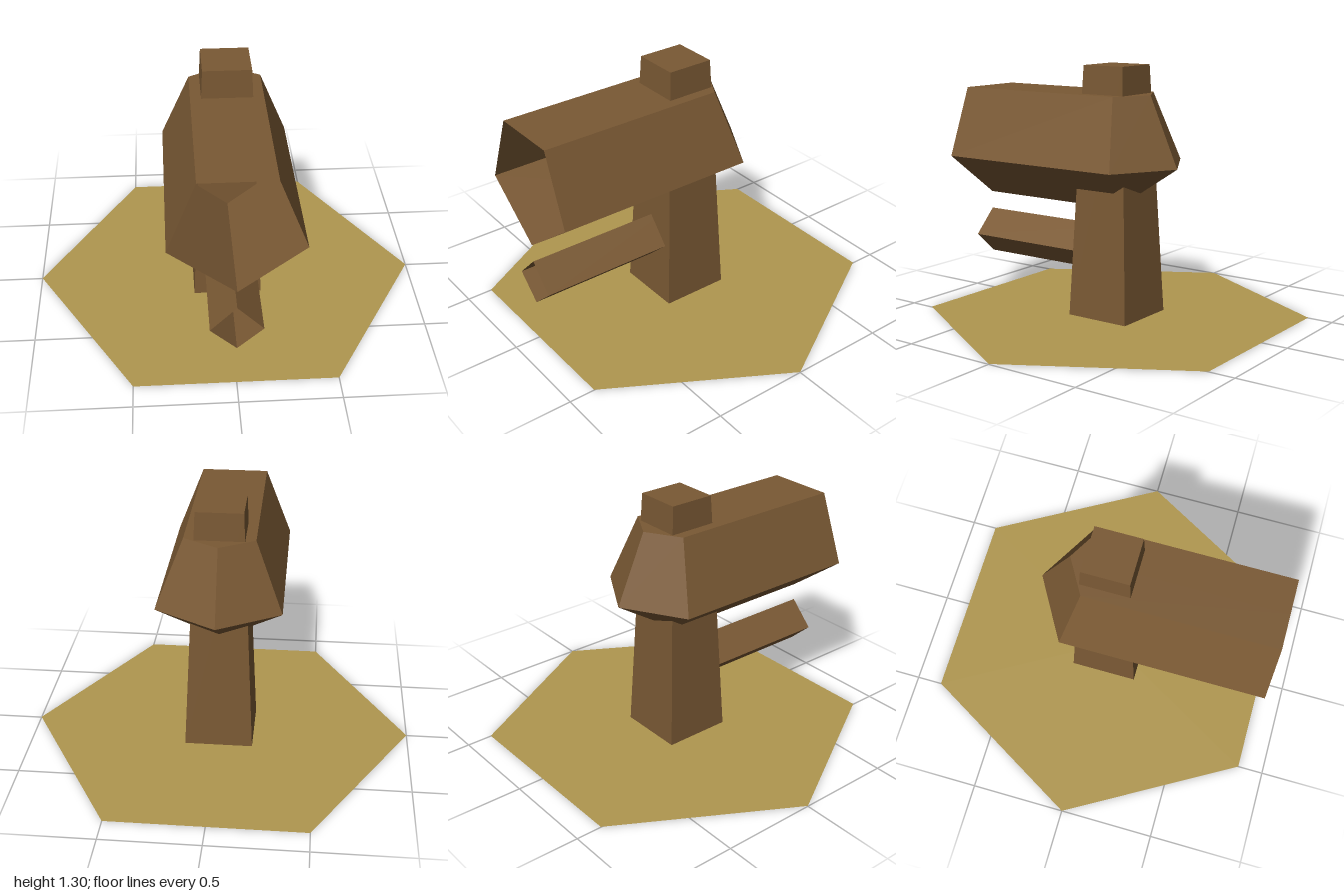
import * as THREE from 'three';

const FRONT = Math.sqrt(3) / 2; // front edge of the hexagonal base

const wood = new THREE.MeshStandardMaterial({ color: 0x7a5934, side: THREE.DoubleSide, flatShading: true });
wood.name = 'brown wood';
const sand = new THREE.MeshStandardMaterial({ color: 0xb0974f, side: THREE.DoubleSide, flatShading: true });
sand.name = 'sandy ground';

// Half-hexagon outline: straight sides from the front edge, pointed at the back
function rail(r, y) {
  const s = r / Math.sqrt(3);
  return [[-r, y, FRONT], [-r, y, -s], [0, y, -2 * s], [r, y, -s], [r, y, FRONT]];
}

// Hollow beam, open at the front, lofted through [radius, height] layers
function beamGeometry(layers) {
  const rails = layers.map(([r, y]) => rail(r, y));
  const points = [];
  const same = (p, q) => p.every((v, k) => Math.abs(v - q[k]) < 1e-6);
  const triangle = (a, b, c) => {
    if (!same(a, b) && !same(b, c) && !same(a, c)) points.push(...a, ...b, ...c);
  };
  for (let j = 0; j < rails.length - 1; j++) {
    const low = rails[j], high = rails[j + 1];
    for (let i = 0; i < low.length - 1; i++) {
      triangle(low[i], high[i], low[i + 1]);
      triangle(low[i + 1], high[i], high[i + 1]);
    }
  }
  const geometry = new THREE.BufferGeometry();
  geometry.setAttribute('position', new THREE.Float32BufferAttribute(points, 3));
  geometry.computeVertexNormals();
  return geometry;
}

export function createModel() {
  const model = new THREE.Group();
  model.name = 'postWithBeams';
  const add = (name, geometry, material) => {
    const mesh = new THREE.Mesh(geometry, material);
    mesh.name = name;
    model.add(mesh);
    return mesh;
  };

  // Flat hexagonal ground, just above the foot of the post
  const ground = add('ground', new THREE.CircleGeometry(1, 6), sand);
  ground.rotation.x = -Math.PI / 2;
  ground.position.y = 0.002;

  // Square post tapering to the top
  const height = 1.305;
  const post = new THREE.CylinderGeometry(0.12 * Math.SQRT2, 0.178 * Math.SQRT2, height, 4);
  post.rotateY(Math.PI / 4);
  post.translate(0, height / 2, 0);
  add('post', post, wood);

  // Large upper beam with a flat top and a keel below
  add('upperBeam', beamGeometry([[0, 0.56], [0.32, 0.8], [0.18, 1.16], [0, 1.16]]), wood);

  // Small diamond-section lower rail
  add('lowerRail', beamGeometry([[0, 0.22], [0.128, 0.335], [0, 0.465]]), wood);

  return model;
}
